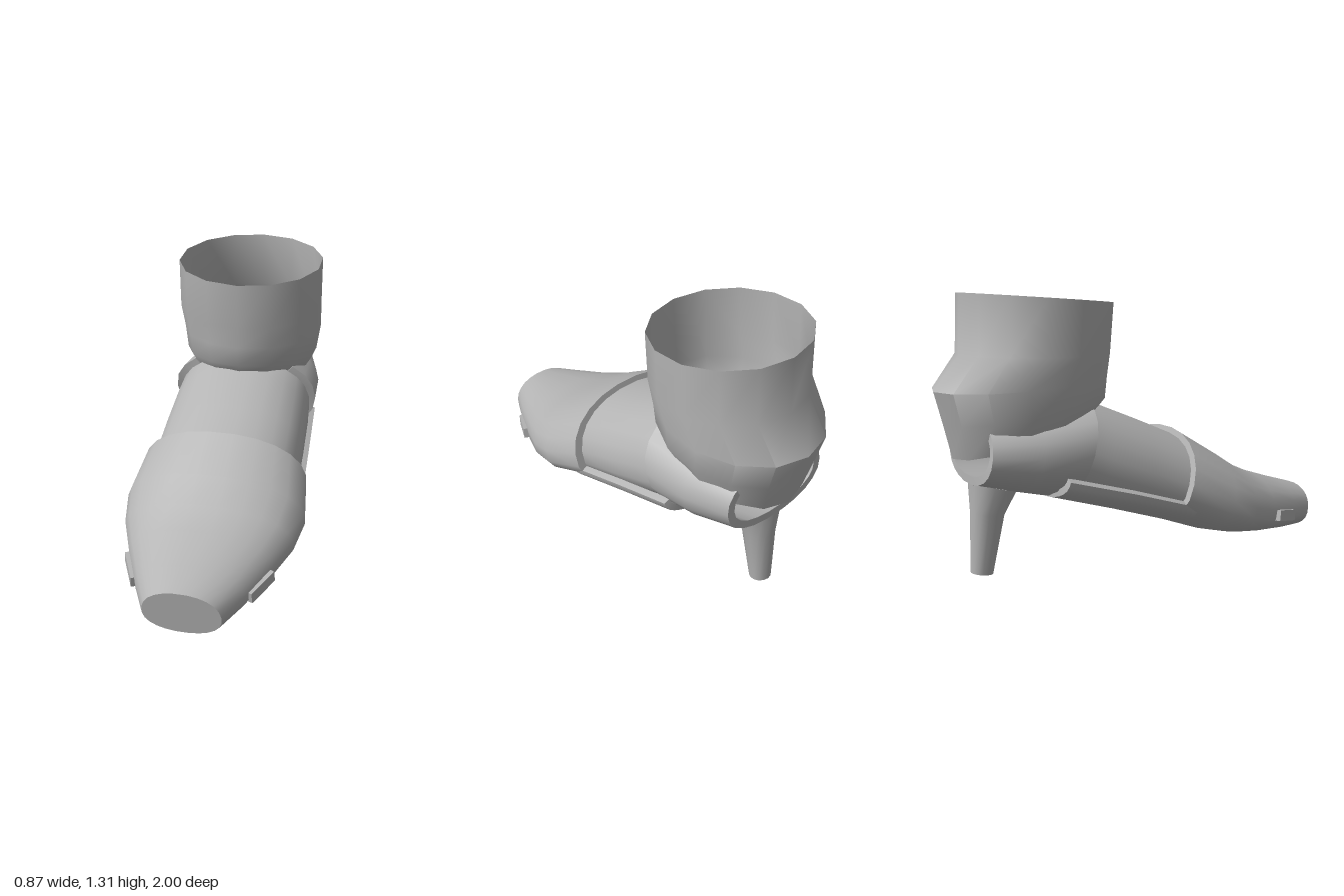
import * as THREE from 'three';
import { toCreasedNormals } from 'three/addons/utils/BufferGeometryUtils.js';

const leather = new THREE.MeshStandardMaterial({ color: 0xb4b4b4, side: THREE.DoubleSide });
leather.name = 'grey leather';

// Point of an oval spanning from b to t, both [z, y]; m is the level of its widest part.
function ovalPoint(b, t, hw, m, a, e = 0.9) {
  const bend = (v) => Math.sign(v) * Math.abs(v) ** e;
  const c = bend(Math.cos(a)), s = bend(Math.sin(a));
  const k = s > 0 ? m + (1 - m) * s : m + m * s;
  return [hw * c, b[1] + (t[1] - b[1]) * k, b[0] + (t[0] - b[0]) * k];
}

// Closed oval section.
function oval([b, t, hw, m = 0.5], e = 0.9, n = 24) {
  return Array.from({ length: n }, (_, i) => ovalPoint(b, t, hw, m, ((i + 0.5) / n) * Math.PI * 2, e));
}

// Open trough section with a wall thickness; a0 is how far its rims rise past the widest level.
function trough([b, t, hw, m = 0.5], a0, wall, n = 18) {
  const arc = (d) => Array.from({ length: n }, (_, i) => {
    const a = a0 - (i / (n - 1)) * (Math.PI + 2 * a0);
    return ovalPoint([b[0], b[1] + d], [t[0], t[1] - d], hw - d, m, a);
  });
  return [...arc(0), ...arc(wall).reverse()];
}

// Skin over a row of sections, with optional end caps.
function loft(name, sections, capStart = true, capEnd = true) {
  const n = sections[0].length, index = [];
  for (let j = 0; j < sections.length - 1; j++) {
    for (let i = 0; i < n; i++) {
      const a = j * n + i, b = j * n + (i + 1) % n;
      index.push(a, b, a + n, b, b + n, a + n);
    }
  }
  const cap = (o, flip) => {
    for (let i = 0; i < n / 2 - 1; i++) {
      const a = o + i, b = a + 1, c = o + n - 1 - i, d = c - 1;
      index.push(...(flip ? [a, c, b, b, c, d] : [a, b, c, b, d, c]));
    }
  };
  if (capStart) cap(0, true);
  if (capEnd) cap((sections.length - 1) * n, false);
  const geo = new THREE.BufferGeometry();
  geo.setAttribute('position', new THREE.Float32BufferAttribute(sections.flat(2), 3));
  geo.setIndex(index);
  const mesh = new THREE.Mesh(toCreasedNormals(geo, 0.75), leather);
  mesh.name = name;
  return mesh;
}

export function createModel() {
  const boot = new THREE.Group();
  boot.name = 'heeledBoot';

  // Toe box with a blunt flat tip
  boot.add(loft('toeBox', [
    [[0.97, 0.04], [1.0, 0.265], 0.18, 0.45],
    [[0.82, 0.045], [0.86, 0.305], 0.255, 0.43],
    [[0.62, 0.06], [0.67, 0.365], 0.345, 0.42],
    [[0.45, 0.08], [0.53, 0.425], 0.41, 0.42],
    [[0.28, 0.12], [0.40, 0.51], 0.44, 0.4],
    [[0.05, 0.20], [0.20, 0.635], 0.41, 0.38],
  ].map((r) => oval(r))));

  // Instep tube running up into the ankle
  boot.add(loft('instep', [
    [[0.10, 0.20], [0.22, 0.595], 0.37, 0.38],
    [[-0.12, 0.26], [0.0, 0.69], 0.365, 0.4],
    [[-0.34, 0.32], [-0.22, 0.78], 0.355, 0.42],
    [[-0.45, 0.35], [-0.31, 0.81], 0.345, 0.45],
  ].map((r) => oval(r)), false, false));

  // Sole band under the arch
  boot.add(loft('archSole', [
    [[0.13, 0.175], [0.22, 0.60], 0.395, 0.28],
    [[-0.2, 0.275], [-0.1, 0.7], 0.38, 0.27],
    [[-0.52, 0.365], [-0.42, 0.80], 0.362, 0.25],
  ].map((r) => trough(r, 0, 0.03))));

  // Thick heel cup, open above and behind
  boot.add(loft('heelCup', [
    [[-0.45, 0.345], [-0.31, 0.835], 0.375],
    [[-0.65, 0.39], [-0.58, 0.79], 0.36],
    [[-0.85, 0.44], [-0.82, 0.76], 0.30],
  ].map((r) => trough(r, 0.85, 0.04))));

  // Ankle shaft, open at the top, with a pointed back bulge
  boot.add(loft('ankleShaft', [
    [[-0.14, 1.26], [-0.87, 1.31], 0.37],
    [[-0.16, 1.03], [-0.88, 1.03], 0.37],
    [[-0.17, 0.92], [-1.0, 0.87], 0.363],
    [[-0.18, 0.82], [-0.96, 0.72], 0.345],
    [[-0.23, 0.76], [-0.92, 0.56], 0.29],
  ].map((r) => oval(r, 1, 14)), false, false));

  // Stiletto heel
  boot.add(loft('stiletto', [
    [[-0.62, 0.39], [-0.845, 0.45], 0.12],
    [[-0.68, 0.28], [-0.84, 0.30], 0.08],
    [[-0.74, 0.0], [-0.845, 0.012], 0.054],
  ].map((r) => oval(r, 1, 14))));

  // Small side tabs by the toe
  for (const side of [-1, 1]) {
    const tab = new THREE.Mesh(new THREE.BoxGeometry(0.03, 0.055, 0.17), leather);
    tab.name = side > 0 ? 'leftToeTab' : 'rightToeTab';
    tab.position.set(side * 0.303, 0.17, 0.74);
    tab.rotation.set(0.17, side * -0.46, 0, 'YXZ');
    boot.add(tab);
  }
  return boot;
}
